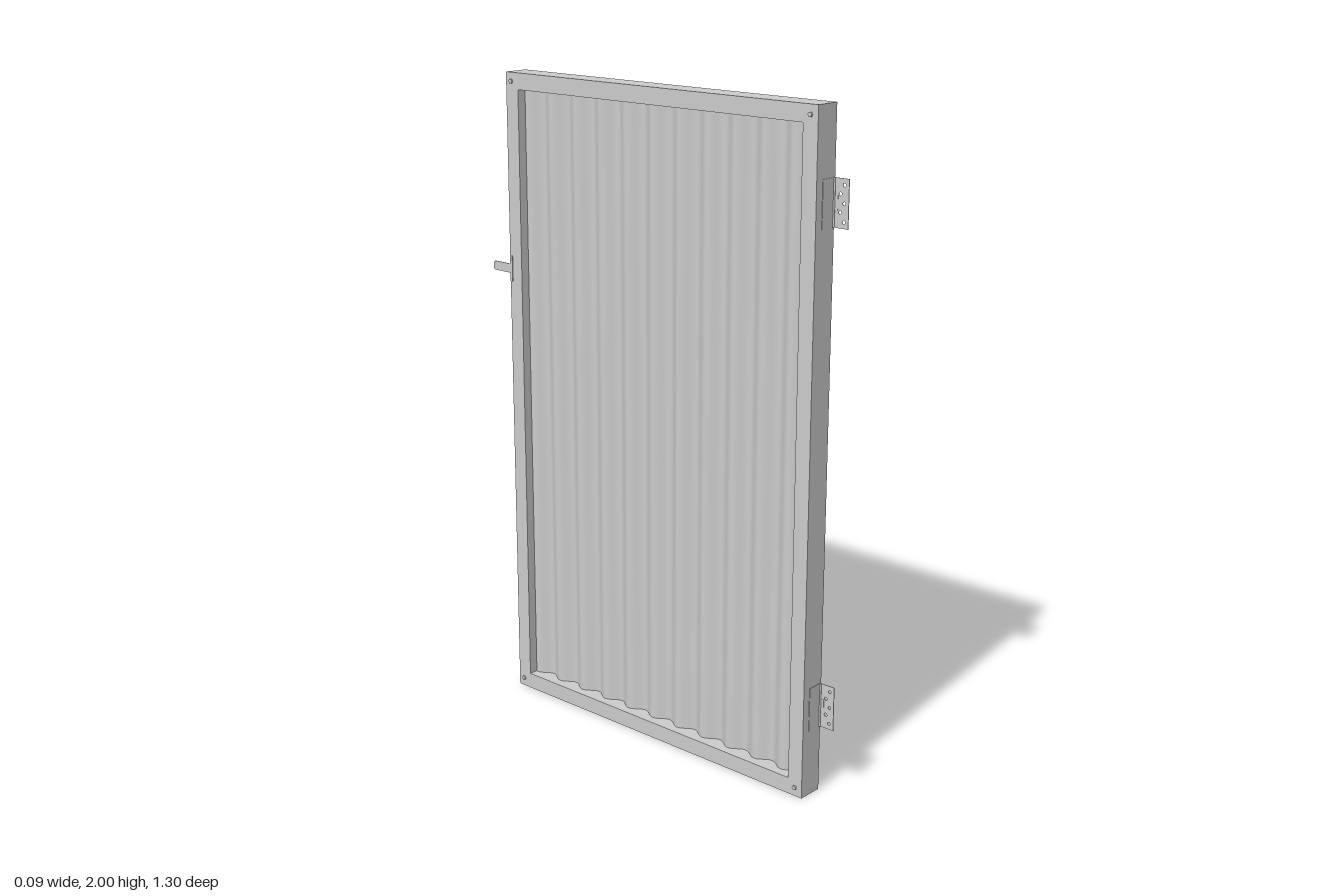
import * as THREE from 'three';

const grey = new THREE.MeshStandardMaterial({ color: 0xcccccc });
const sheet = new THREE.MeshStandardMaterial({ color: 0xcccccc, side: THREE.DoubleSide });

const Z0 = -0.578, Z1 = 0.6; // latch edge, hinge edge
const T = 0.05; // width of the frame members
const HALF = 0.04; // half thickness of the frame

function add(parent, name, geometry, x, y, z, material = grey) {
  const mesh = new THREE.Mesh(geometry, material);
  mesh.name = name;
  mesh.position.set(x, y, z);
  parent.add(mesh);
  return mesh;
}

function rectangle(Type, a0, b0, a1, b1) {
  const s = new Type();
  s.moveTo(a0, b0);
  s.lineTo(a1, b0);
  s.lineTo(a1, b1);
  s.lineTo(a0, b1);
  s.closePath();
  return s;
}

// Extrude a shape drawn in (z, y) along x, centred on x = 0
function slab(shape, thickness) {
  const g = new THREE.ExtrudeGeometry(shape, { depth: thickness, bevelEnabled: false, curveSegments: 12 });
  g.translate(0, 0, -thickness / 2);
  g.rotateY(-Math.PI / 2); // shape x -> z
  return g;
}

// Corrugated sheet, waves running upright
function corrugatedSheet() {
  const z0 = Z0 + T - 0.005, z1 = Z1 - T + 0.005, pitch = 0.102;
  const g = new THREE.PlaneGeometry(z1 - z0, 2 - 2 * T + 0.01, 180, 1);
  g.rotateY(Math.PI / 2);
  g.translate(0, 1, (z0 + z1) / 2);
  const p = g.attributes.position;
  for (let i = 0; i < p.count; i++) {
    p.setX(i, 0.012 * Math.sin((2 * Math.PI * (p.getZ(i) - 0.525)) / pitch));
  }
  g.computeVertexNormals();
  return g;
}

// Hinge: perforated leaf standing off the edge, second leaf on the frame
function hinge(y) {
  const group = new THREE.Group();
  group.name = 'hinge';
  const h = 0.135;
  const leaf = rectangle(THREE.Shape, 0, -h / 2, 0.052, h / 2);
  for (const [z, dy] of [[0.037, 0.05], [0.024, 0.025], [0.037, 0], [0.024, -0.025], [0.037, -0.05]]) {
    const hole = new THREE.Path();
    hole.absarc(z, dy, 0.005, 0, Math.PI * 2, true);
    leaf.holes.push(hole);
  }
  add(group, 'hingeLeaf', slab(leaf, 0.002), 0.037, 0, Z1 - 0.002);
  add(group, 'hingeFrameLeaf', new THREE.BoxGeometry(0.052, h, 0.003), 0.012, 0, Z1);
  add(group, 'hingeKnuckle', new THREE.CylinderGeometry(0.003, 0.003, h, 12), 0.035, 0, Z1 + 0.002);
  add(group, 'hingeTab', new THREE.BoxGeometry(0.004, 0.04, 0.012), 0.037, 0, Z1 + 0.009);
  group.position.y = y;
  return group;
}

export function createModel() {
  const model = new THREE.Group();
  model.name = 'gate';

  // Frame with a rectangular opening
  const outline = rectangle(THREE.Shape, Z0, 0, Z1, 2);
  outline.holes.push(rectangle(THREE.Path, Z0 + T, T, Z1 - T, 2 - T));
  add(model, 'frame', slab(outline, HALF * 2), 0, 0, 0);

  add(model, 'corrugatedPanel', corrugatedSheet(), 0, 0, 0, sheet);

  // Corner bolts, a head on both faces
  for (const side of [-1, 1]) {
    for (const y of [0.027, 1.973]) {
      for (const z of [-0.556, 0.575]) {
        const bolt = add(model, 'cornerBolt', new THREE.CylinderGeometry(0.007, 0.007, 0.006, 6), side * (HALF + 0.002), y, z);
        bolt.rotation.z = Math.PI / 2;
      }
    }
  }

  model.add(hinge(1.735), hinge(0.272));

  // Latch tongue with a rounded tip, and its small mounting strip
  const tongue = new THREE.Shape();
  tongue.moveTo(Z0 + 0.01, -0.014);
  tongue.lineTo(Z0 + 0.01, 0.014);
  tongue.lineTo(-0.642, 0.014);
  tongue.quadraticCurveTo(-0.65, 0.014, -0.65, 0.006);
  tongue.lineTo(-0.65, -0.006);
  tongue.quadraticCurveTo(-0.65, -0.014, -0.642, -0.014);
  tongue.closePath();
  add(model, 'latchTongue', slab(tongue, 0.003), -0.041, 1.4, 0);
  add(model, 'latchStrip', new THREE.BoxGeometry(0.003, 0.08, 0.01), -0.041, 1.4, Z0 + 0.006);

  return model;
}
